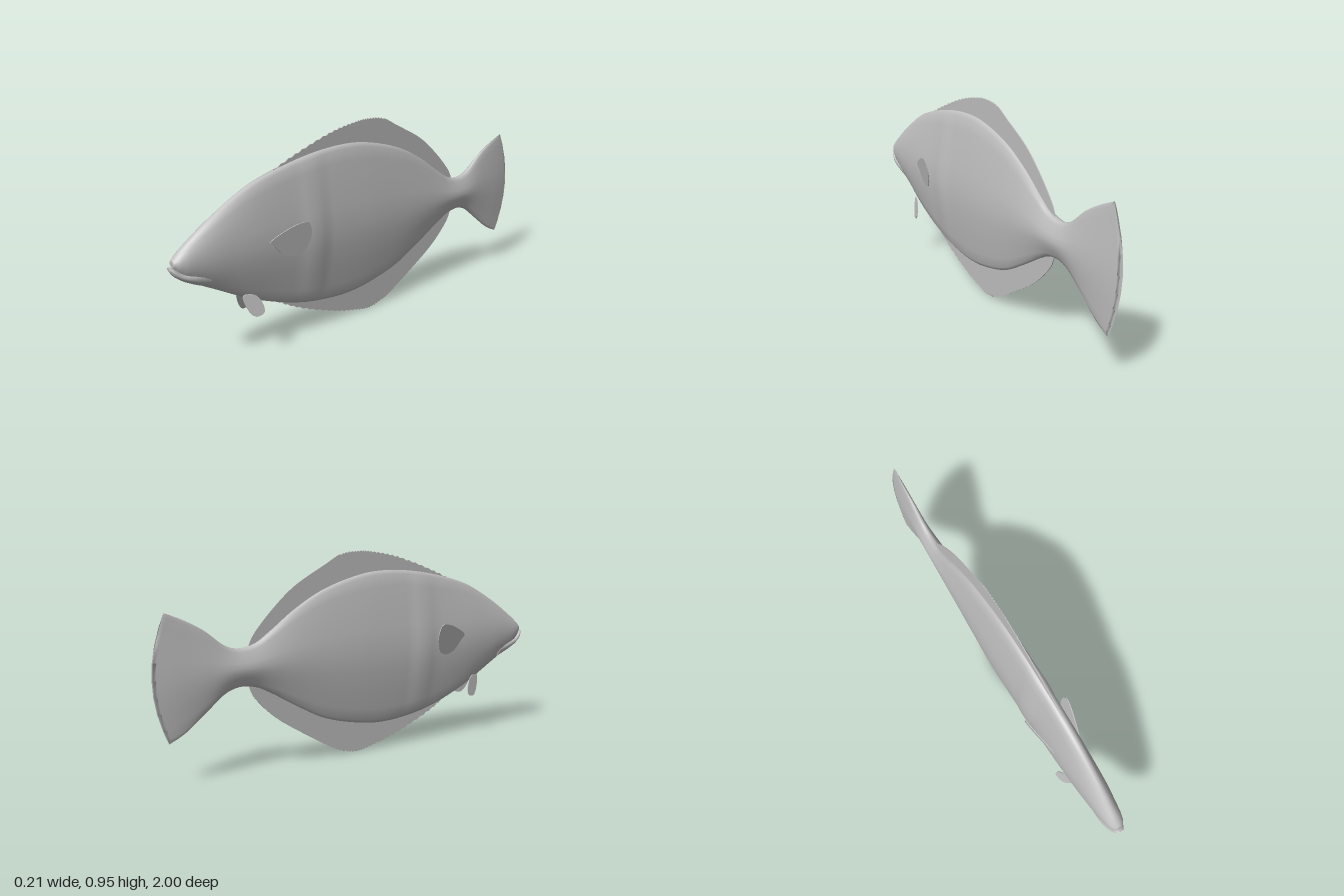
import * as THREE from 'three';

const CX = -0.007; // the body sits slightly off the centre line

// Closed loft along z. Stations: [z, top, bottom, half width]
function loft(stations, steps, section, bow = () => 0) {
  const outline = new THREE.CatmullRomCurve3(stations.map(([z, t, b]) => new THREE.Vector3(z, t, b)));
  const widths = new THREE.CatmullRomCurve3(stations.map(([z, , , w]) => new THREE.Vector3(w, 0, 0)));
  const pos = [], index = [];
  let n = 0;
  for (let i = 0; i <= steps; i++) {
    const p = outline.getPoint(i / steps), w = widths.getPoint(i / steps).x;
    const ring = section(p.x);
    n = ring.length;
    for (const [k, s] of ring) {
      pos.push(CX + k * w, (p.y + p.z) / 2 + s * (p.y - p.z) / 2, p.x - bow(p.x) * (1 - s * s));
    }
  }
  for (let i = 0; i < steps; i++) {
    for (let j = 0; j < n; j++) {
      const a = i * n + j, b = i * n + (j + 1) % n;
      index.push(a, b, a + n, b, b + n, a + n);
    }
  }
  // End caps
  const last = steps * n;
  for (let j = 1; j < n - 1; j++) {
    index.push(0, j + 1, j, last, last + j, last + j + 1);
  }
  const g = new THREE.BufferGeometry();
  g.setAttribute('position', new THREE.Float32BufferAttribute(pos, 3));
  g.setIndex(index);
  g.computeVertexNormals();
  return g;
}

// Right half of the flattened section, top to bottom: [width factor, height factor]
const HALF = [[0.12, 1], [0.34, 0.95], [0.5, 0.8], [0.7, 0.53], [0.88, 0.27], [1, 0],
  [0.92, -0.27], [0.74, -0.53], [0.5, -0.8], [0.34, -0.95], [0.12, -1]];

// Flattened section on the trunk, rounder on the head
function bodySection(z) {
  const r = THREE.MathUtils.smoothstep(z, 0.45, 0.95);
  const right = HALF.map(([k, s]) => [THREE.MathUtils.lerp(k, Math.sqrt(Math.max(0.01, 1 - s * s)), r), s]);
  return [...right, ...right.slice().reverse().map(([k, s]) => [-k, s])];
}

function ovalSection() {
  return Array.from({ length: 20 }, (_, i) => {
    const a = i / 20 * Math.PI * 2;
    return [Math.sin(a), Math.cos(a)];
  });
}

// Thin plate drawn in (z, y)
function plate(points, thickness) {
  const shape = new THREE.Shape(points.map(([z, y]) => new THREE.Vector2(z, y)));
  const g = new THREE.ExtrudeGeometry(shape, { depth: thickness, bevelEnabled: false });
  return g.translate(0, 0, -thickness / 2).rotateY(-Math.PI / 2);
}

// Long median fin: curved edge with small teeth on its front part
function medianFin(edge, root, sign) {
  const curve = new THREE.SplineCurve(edge.map(([z, y]) => new THREE.Vector2(z, y)));
  const pts = curve.getPoints(110).map((p, i) => [p.x, p.y - (p.x > -0.12 && i % 2 ? sign * 0.006 : 0)]);
  return plate([...pts, ...root], 0.004);
}

// Paired fin: smooth outline, splayed outwards by a rule for x
function pairedFin(outline, side, splay) {
  const curve = new THREE.CatmullRomCurve3(outline.map(([z, y]) => new THREE.Vector3(z, y, 0)), true);
  const g = plate(curve.getPoints(32).slice(0, -1).map(p => [p.x, p.y]), 0.004);
  const p = g.attributes.position;
  for (let i = 0; i < p.count; i++) {
    p.setX(i, -0.003 + p.getX(i) + side * splay(p.getZ(i), p.getY(i)));
  }
  g.computeVertexNormals();
  return g;
}

export function createModel() {
  const model = new THREE.Group();
  model.name = 'fish';
  const grey = new THREE.MeshStandardMaterial({ color: 0xc0c0c0 });
  grey.name = 'plain grey';
  const add = (name, geometry) => {
    const m = new THREE.Mesh(geometry, grey);
    m.name = name;
    model.add(m);
  };

  // Head, trunk and tail in one skin
  const body = [
    [0.985, 0.532, 0.505, 0.018], [0.965, 0.552, 0.475, 0.033], [0.93, 0.582, 0.435, 0.043],
    [0.8, 0.672, 0.355, 0.056], [0.61, 0.772, 0.25, 0.063], [0.4, 0.828, 0.17, 0.064],
    [0.25, 0.85, 0.14, 0.064], [0.12, 0.855, 0.13, 0.063], [0, 0.843, 0.14, 0.062],
    [-0.2, 0.785, 0.19, 0.057], [-0.35, 0.705, 0.268, 0.053], [-0.48, 0.612, 0.345, 0.048],
    [-0.55, 0.568, 0.378, 0.045], [-0.62, 0.553, 0.387, 0.041], [-0.68, 0.568, 0.37, 0.037],
    [-0.78, 0.645, 0.292, 0.028], [-0.87, 0.695, 0.22, 0.018], [-0.94, 0.725, 0.183, 0.007],
  ];
  const tailBow = z => 0.06 * THREE.MathUtils.smoothstep(-z, 0.74, 0.94);
  add('body', loft(body, 85, bodySection, tailBow));

  // Lower jaw, jutting past the upper lip
  add('lowerJaw', loft([
    [1, 0.508, 0.492, 0.014], [0.985, 0.503, 0.468, 0.027], [0.95, 0.478, 0.438, 0.038],
    [0.9, 0.47, 0.409, 0.042], [0.82, 0.46, 0.372, 0.036],
  ], 16, ovalSection));

  // Fins along the back and belly
  add('dorsalFin', medianFin([
    [0.58, 0.772], [0.4, 0.85], [0.2, 0.918], [0.06, 0.945], [-0.02, 0.95], [-0.11, 0.938],
    [-0.2, 0.89], [-0.35, 0.805], [-0.46, 0.71], [-0.55, 0.61], [-0.58, 0.55],
  ], [[-0.55, 0.53], [-0.3, 0.65], [0, 0.76], [0.3, 0.76], [0.55, 0.72]], 1).translate(CX, 0, 0));
  add('analFin', medianFin([
    [0.78, 0.36], [0.57, 0.243], [0.4, 0.142], [0.2, 0.058], [0.05, 0.016], [-0.04, 0.003],
    [-0.14, 0.032], [-0.3, 0.125], [-0.45, 0.225], [-0.55, 0.325], [-0.58, 0.39],
  ], [[-0.55, 0.42], [-0.3, 0.32], [0, 0.22], [0.3, 0.22], [0.6, 0.32]], -1).translate(CX, 0, 0));

  // Paired fins
  const pectoral = [[0.57, 0.522], [0.5, 0.565], [0.45, 0.583], [0.4, 0.584], [0.38, 0.525],
    [0.4, 0.462], [0.44, 0.435], [0.5, 0.447], [0.55, 0.5]];
  const pelvic = [[0.69, 0.3], [0.64, 0.295], [0.612, 0.25], [0.612, 0.21], [0.65, 0.2], [0.68, 0.24]];
  for (const [label, side] of [['left', 1], ['right', -1]]) {
    add(label + 'PectoralFin', pairedFin(pectoral, side,
      (z, y) => 0.052 + (0.57 - z) * 0.17 + (y - 0.435) * 0.16));
    add(label + 'PelvicFin', pairedFin(pelvic, side,
      (z, y) => 0.026 + (0.3 - y) * 0.15 + (0.69 - z) * 0.25));
  }
  return model;
}
